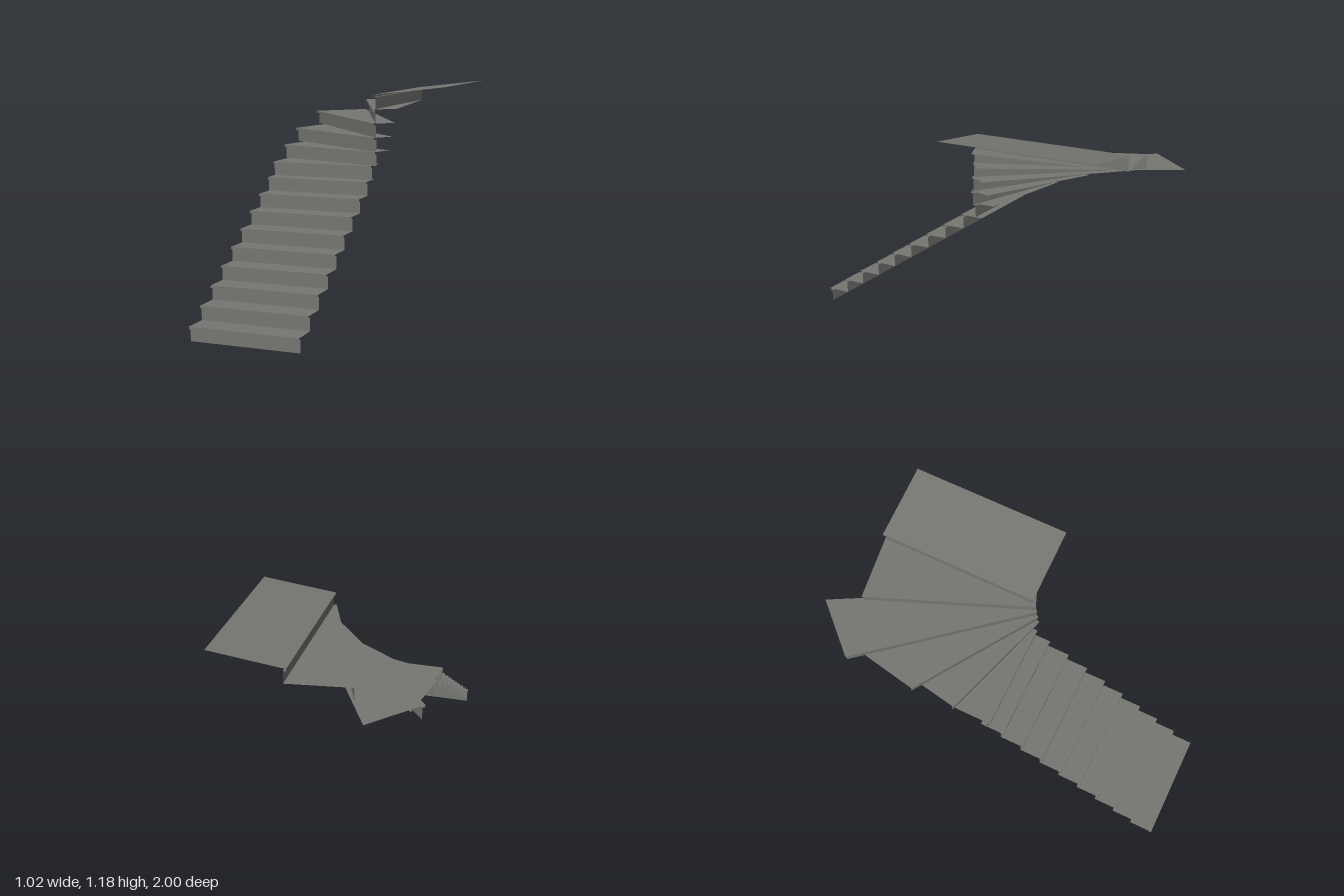
import * as THREE from 'three';

const RISE = 0.0757;    // height of one step
const LIP = 0.0125;     // height of the nosing strip
const SETBACK = 0.0155; // riser sits this far behind the nosing

// Flat panel from four corners, counter-clockwise seen from its front
function panel(name, corners, material) {
  const g = new THREE.BufferGeometry();
  g.setAttribute('position', new THREE.Float32BufferAttribute(corners.flat(), 3));
  g.setIndex([0, 1, 2, 0, 2, 3]);
  g.computeVertexNormals();
  const mesh = new THREE.Mesh(g, material);
  mesh.name = name;
  return mesh;
}

// One step from its plan [x, z]: nosing outer and inner ends, back inner and outer corners
function makeStep(name, level, plan, material, backLift = 0) {
  const [a, b, c, d] = plan;
  const y = level * RISE, low = y - LIP, base = y - RISE;
  const at = ([x, z], h) => [x, h, z];

  // horizontal direction of climb, square to the nosing
  const dx = b[0] - a[0], dz = b[1] - a[1], len = Math.hypot(dx, dz);
  const back = ([x, z]) => [x + dz / len * SETBACK, z - dx / len * SETBACK];
  const ra = back(a), rb = back(b);

  const step = new THREE.Group();
  step.name = name;
  step.add(
    panel('tread', [at(a, y), at(b, y), at(c, y + backLift), at(d, y + backLift)], material),
    panel('nosing', [at(a, low), at(b, low), at(b, y), at(a, y)], material),
    panel('nosingUnderside', [at(ra, low), at(rb, low), at(b, low), at(a, low)], material),
    panel('riser', [at(ra, base), at(rb, base), at(rb, low), at(ra, low)], material)
  );
  return step;
}

export function createModel() {
  const model = new THREE.Group();
  model.name = 'staircase';
  const grey = new THREE.MeshStandardMaterial({ color: 0x767672, side: THREE.DoubleSide });
  grey.name = 'stone grey';

  // Straight flight
  const L = -0.453, R = 0.119, GOING = 0.1135;
  for (let i = 0; i < 9; i++) {
    const z = 1 - i * GOING, zb = z - GOING - SETBACK;
    model.add(makeStep('straightStep' + (i + 1), i + 1, [[L, z], [R, z], [R, zb], [L, zb]], grey));
  }
  // Last straight step, its back cut at a slant for the turn
  model.add(makeStep('straightStep10', 10, [[L, 0.016], [R, 0.016], [R, -0.105], [L, -0.2]], grey));

  // Winding steps round the inner corner
  const winders = [
    [[-0.472, -0.176], [0.14, 0.016], [0.178, -0.103], [-0.432, -0.4]],
    [[-0.495, -0.397], [0.133, 0.013], [0.203, -0.092], [-0.435, -0.715]],
    [[-0.51, -0.757], [0.127, 0.008], [0.223, -0.072], [-0.28, -1]],
    [[-0.209, -0.816], [0.12, 0.003], [0.236, -0.043], [0.134, -0.862]],
  ];
  winders.forEach((plan, i) => model.add(makeStep('windingStep' + (i + 1), 11 + i, plan, grey)));

  // Landing, rising gently towards its far side
  model.add(makeStep('landing', 15,
    [[0.117, -0.858], [0.117, -0.012], [0.508, -0.012], [0.508, -0.858]], grey, 0.046));

  return model;
}
